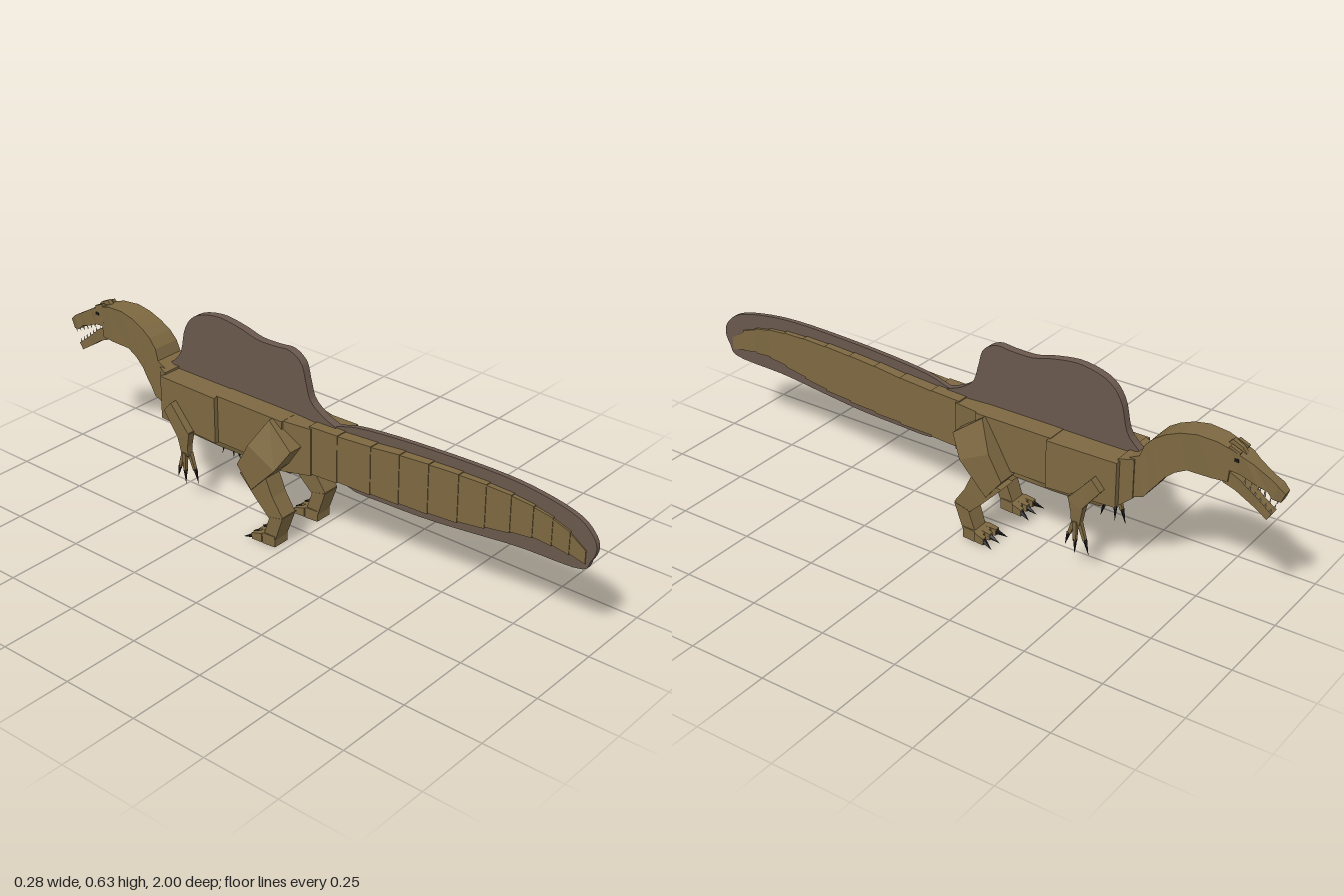
import * as THREE from 'three';

const mat = (name, color) => {
  const m = new THREE.MeshStandardMaterial({ color });
  m.name = name;
  m.flatShading = true;
  return m;
};

export function createModel() {
  const root = new THREE.Group();
  root.name = 'sailBackedDinosaur';
  const skin = mat('oliveSkin', 0x7d6841);
  const sail = mat('brownSail', 0x6a584d);
  const claw = mat('blackClaw', 0x1b1918);
  const tooth = mat('paleTooth', 0xcfc6b0);

  const add = (name, geo, material, parent = root) => {
    const m = new THREE.Mesh(geo, material);
    m.name = name;
    parent.add(m);
    return m;
  };

  // Four-sided loft. Station: [z1, y1, z2, y2, xMin, xMax, xMin2?, xMax2?]
  function loft(stations, side = 1) {
    const rings = stations.map(([z1, y1, z2, y2, a, b, c = a, d = b]) => [
      [a * side, y1, z1], [b * side, y1, z1], [d * side, y2, z2], [c * side, y2, z2]]);
    const tris = [];
    const quad = (a, b, c, d) => tris.push([a, b, c], [a, c, d]);
    for (let i = 0; i + 1 < rings.length; i++) {
      for (let k = 0; k < 4; k++) {
        const n = (k + 1) % 4;
        quad(rings[i][k], rings[i][n], rings[i + 1][n], rings[i + 1][k]);
      }
    }
    quad(...[...rings[0]].reverse());
    quad(...rings[rings.length - 1]);
    // Turn the faces outward by the sign of the enclosed volume
    const o = new THREE.Vector3(...rings[0][0]);
    const v = (p) => new THREE.Vector3(...p).sub(o);
    const volume = tris.reduce((s, [a, b, c]) => s + v(a).dot(v(b).cross(v(c))), 0);
    const pos = tris.flatMap((t) => (volume < 0 ? [t[0], t[2], t[1]] : t)).flat();
    const g = new THREE.BufferGeometry();
    g.setAttribute('position', new THREE.Float32BufferAttribute(pos, 3));
    g.computeVertexNormals();
    return g;
  }
  // Symmetric station helper
  const sym = ([z1, y1, z2, y2, w, w2 = w]) => [z1, y1, z2, y2, -w, w, -w2, w2];

  // Side outline (z, y) given thickness across x
  function slab(points, thick) {
    const g = new THREE.ExtrudeGeometry(
      new THREE.Shape(points.map((p) => new THREE.Vector2(...p))),
      { depth: thick, bevelEnabled: false });
    return g.translate(0, 0, -thick / 2).rotateY(-Math.PI / 2);
  }
  const smooth = (points, n) => new THREE.SplineCurve(
    points.map((p) => new THREE.Vector2(...p))).getPoints(n).map((p) => [p.x, p.y]);

  // Torso
  add('hips', loft([[0.05, 0.40, 0.05, 0.245, 0.055], [-0.05, 0.405, -0.05, 0.235, 0.075]].map(sym)), skin);
  add('belly', loft([[-0.04, 0.405, -0.04, 0.25, 0.08], [-0.30, 0.405, -0.30, 0.25, 0.08]].map(sym)), skin);
  add('chest', loft([[-0.295, 0.403, -0.295, 0.25, 0.095], [-0.525, 0.403, -0.525, 0.26, 0.09]].map(sym)), skin);
  add('shoulders', loft([[-0.52, 0.41, -0.52, 0.255, 0.075], [-0.56, 0.41, -0.56, 0.285, 0.055]].map(sym)), skin);
  add('underside', loft([[-0.02, 0.27, -0.02, 0.232, 0.065], [-0.30, 0.27, -0.30, 0.225, 0.08, 0.065],
    [-0.46, 0.27, -0.46, 0.23, 0.08, 0.065], [-0.55, 0.30, -0.55, 0.28, 0.055]].map(sym)), skin);

  // Tail: overlapping tapered blocks, each slightly smaller than the last
  const tail = [[0.04, 0.405, 0.248, 0.05], [0.14, 0.405, 0.255, 0.046], [0.26, 0.41, 0.258, 0.042],
    [0.36, 0.418, 0.262, 0.038], [0.46, 0.422, 0.267, 0.034], [0.56, 0.424, 0.275, 0.03],
    [0.65, 0.423, 0.29, 0.026], [0.73, 0.418, 0.305, 0.022], [0.80, 0.408, 0.315, 0.018],
    [0.86, 0.393, 0.312, 0.014], [0.915, 0.37, 0.305, 0.012], [0.965, 0.33, 0.295, 0.009]];
  for (let i = 0; i + 1 < tail.length; i++) {
    const [z, t, b, w] = tail[i], [z2, t2, b2, w2] = tail[i + 1];
    add('tailSegment', loft([[z, t, z, b, w],
      [z2 + 0.004, t2 + 0.003, z2 + 0.004, b2 - 0.003, w2 + 0.002]].map(sym)), skin);
  }
  add('tailFin', slab(smooth([[0.05, 0.40], [0.11, 0.412], [0.20, 0.435], [0.40, 0.452], [0.65, 0.46],
    [0.80, 0.452], [0.93, 0.425], [0.985, 0.385], [1.0, 0.345], [0.985, 0.305], [0.95, 0.268],
    [0.76, 0.26], [0.60, 0.243], [0.45, 0.228], [0.30, 0.222], [0.17, 0.222], [0.11, 0.26]], 60), 0.016), sail);

  // Back sail
  add('backSail', slab([...smooth([[0.11, 0.41], [0.06, 0.43], [0.015, 0.465], [-0.003, 0.52], [-0.02, 0.575],
    [-0.065, 0.603], [-0.12, 0.60], [-0.19, 0.60], [-0.26, 0.617], [-0.35, 0.627], [-0.44, 0.604],
    [-0.487, 0.55], [-0.51, 0.46], [-0.555, 0.412]], 50), [-0.555, 0.39], [0.11, 0.39]], 0.026), sail);

  // Neck and head
  add('neck', loft([[-0.54, 0.41, -0.55, 0.285, 0.052], [-0.573, 0.425, -0.59, 0.298, 0.05],
    [-0.585, 0.46, -0.61, 0.325, 0.047], [-0.61, 0.488, -0.63, 0.35, 0.045], [-0.645, 0.511, -0.65, 0.377, 0.042],
    [-0.69, 0.53, -0.68, 0.403, 0.04], [-0.74, 0.54, -0.715, 0.421, 0.038],
    [-0.80, 0.536, -0.79, 0.42, 0.034], [-0.845, 0.522, -0.835, 0.422, 0.03]].map(sym)), skin);
  add('upperJaw', loft([[-0.83, 0.528, -0.83, 0.46, 0.031], [-0.88, 0.508, -0.87, 0.455, 0.028],
    [-0.905, 0.493, -0.92, 0.432, 0.02], [-0.955, 0.464, -0.948, 0.422, 0.015],
    [-0.98, 0.45, -0.965, 0.406, 0.018], [-1.0, 0.432, -0.988, 0.402, 0.013]].map(sym)), skin);
  add('lowerJaw', loft([[-0.82, 0.462, -0.82, 0.415, 0.027], [-0.865, 0.437, -0.855, 0.40, 0.022],
    [-0.925, 0.388, -0.915, 0.36, 0.014], [-0.965, 0.358, -0.952, 0.337, 0.016]].map(sym)), skin);
  add('headCrest', slab([[-0.815, 0.525], [-0.832, 0.542], [-0.85, 0.533], [-0.862, 0.528], [-0.88, 0.505]], 0.014), skin);

  // Cone running from one point to another
  function spike(name, from, to, r, material, parent, sides = 4) {
    const a = new THREE.Vector3(...from), d = new THREE.Vector3(...to).sub(a);
    const m = add(name, new THREE.ConeGeometry(r, d.length(), sides), material, parent);
    m.position.copy(a).addScaledVector(d, 0.5);
    m.quaternion.setFromUnitVectors(new THREE.Vector3(0, 1, 0), d.normalize());
  }

  for (const s of [1, -1]) {
    const label = s > 0 ? 'left' : 'right';
    const head = new THREE.Group();
    head.name = label + 'FaceDetails';
    root.add(head);
    // Eye, brow and teeth
    const eye = add('eye', new THREE.BoxGeometry(0.004, 0.009, 0.013), claw, head);
    eye.position.set(s * 0.0295, 0.496, -0.858);
    const brow = add('brow', new THREE.BoxGeometry(0.012, 0.01, 0.035), skin, head);
    brow.position.set(s * 0.023, 0.523, -0.85);
    brow.rotation.x = -0.4;
    for (let i = 0; i < 6; i++) {
      const t = i / 5;
      const z = -0.885 - 0.095 * t, y = 0.449 - 0.045 * t;
      spike('upperTooth', [s * (0.02 - 0.007 * t), y, z], [s * (0.02 - 0.007 * t), y - 0.014, z + 0.004], 0.003, tooth, head);
      const lz = -0.88 - 0.08 * t, ly = 0.425 - 0.063 * t;
      spike('lowerTooth', [s * (0.017 - 0.004 * t), ly, lz], [s * (0.017 - 0.004 * t), ly + 0.014, lz - 0.003], 0.003, tooth, head);
    }

    // Hind leg
    const leg = new THREE.Group();
    leg.name = label + 'HindLeg';
    root.add(leg);
    add('thigh', loft([[-0.075, 0.405, 0.02, 0.335, 0.05, 0.095, 0.05, 0.11],
      [-0.125, 0.32, -0.022, 0.268, 0.06, 0.135], [-0.17, 0.24, -0.115, 0.172, 0.065, 0.135]], s), skin, leg);
    add('shin', loft([[-0.165, 0.21, -0.065, 0.235, 0.066, 0.128],
      [-0.10, 0.142, -0.035, 0.17, 0.068, 0.128], [-0.04, 0.085, 0.003, 0.115, 0.07, 0.127]], s), skin, leg);
    add('ankle', loft([[-0.048, 0.10, 0.003, 0.112, 0.069, 0.128], [-0.075, 0.025, -0.03, 0.02, 0.072, 0.126]], s), skin, leg);
    add('foot', loft([[-0.028, 0.038, -0.028, 0.002, 0.07, 0.128], [-0.07, 0.038, -0.07, 0.002, 0.066, 0.132],
      [-0.095, 0.03, -0.095, 0.006, 0.068, 0.13]], s), skin, leg);
    for (const k of [-1, 0, 1]) {
      const x = 0.099 + k * 0.026;
      add('toe', loft([[-0.075, 0.036, -0.075, 0.006, x - 0.011, x + 0.011],
        [-0.11, 0.028, -0.11, 0.007, x + k * 0.007 - 0.008, x + k * 0.007 + 0.008]], s), skin, leg);
      spike('toeClaw', [s * (x + k * 0.006), 0.018, -0.105], [s * (x + k * 0.017), 0.004, -0.142], 0.009, claw, leg, 5);
    }

    // Arm with three clawed fingers
    const arm = new THREE.Group();
    arm.name = label + 'Arm';
    root.add(arm);
    add('upperArm', loft([[-0.46, 0.342, -0.49, 0.308, 0.085, 0.115],
      [-0.385, 0.258, -0.43, 0.232, 0.088, 0.118]], s), skin, arm);
    add('forearm', loft([[-0.385, 0.262, -0.436, 0.238, 0.09, 0.116],
      [-0.395, 0.21, -0.43, 0.21, 0.092, 0.114], [-0.396, 0.175, -0.424, 0.175, 0.093, 0.112]], s), skin, arm);
    [[-0.368, 0.097, 0.09], [-0.41, 0.11, 0.08], [-0.452, 0.102, 0.086]].forEach(([z, x, y], i) => {
      const z0 = -0.402 - i * 0.008;
      const zm = z0 + (z - z0) * 0.62, ym = 0.18 + (y - 0.18) * 0.6;
      add('finger', loft([[z0 + 0.007, 0.185, z0 - 0.007, 0.185, x - 0.007, x + 0.007],
        [zm + 0.005, ym, zm - 0.005, ym, x - 0.005, x + 0.005]], s), skin, arm);
      spike('fingerClaw', [s * x, ym + 0.006, zm], [s * x, y - 0.006, z], 0.007, claw, arm, 5);
    });
  }
  return root;
}
